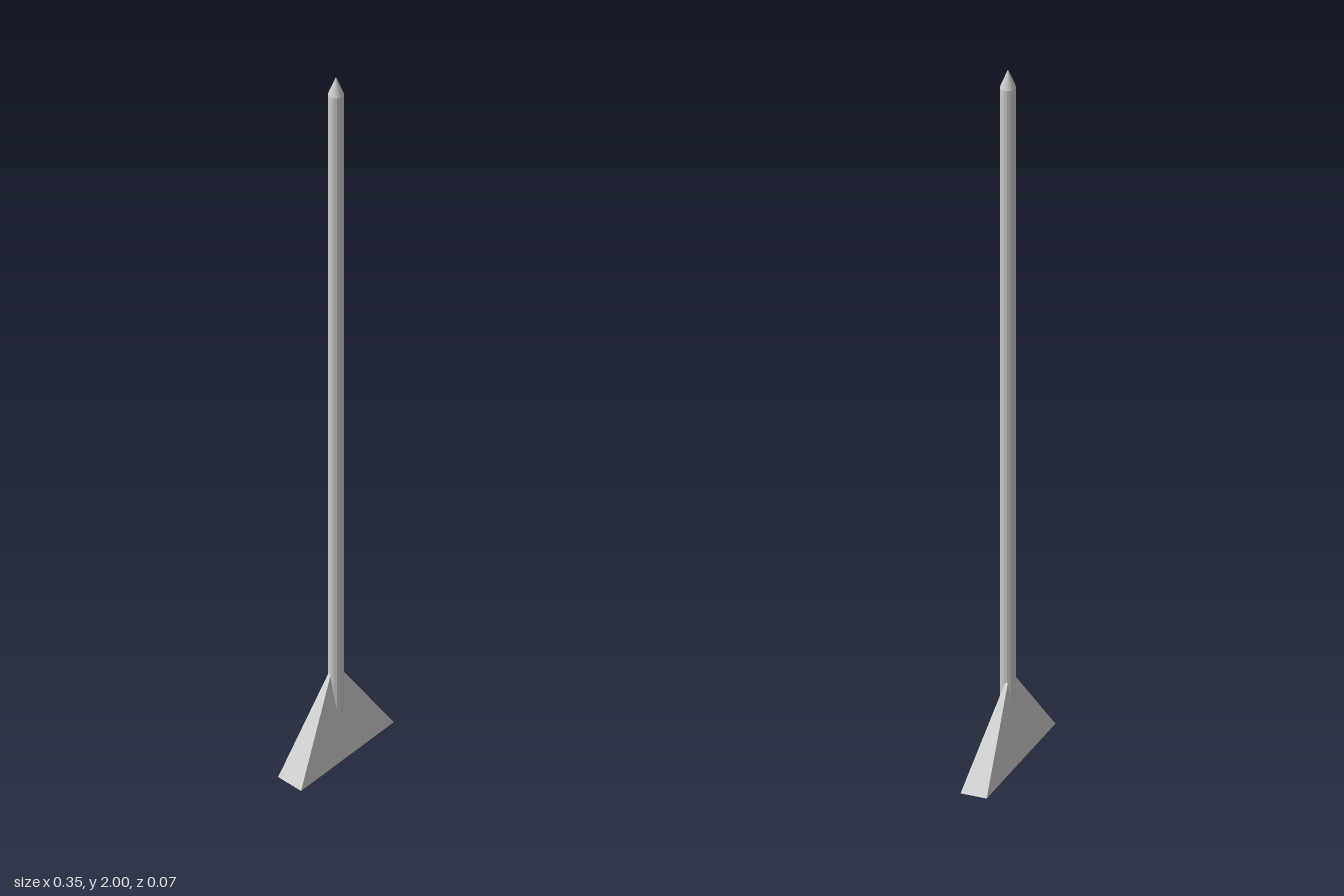
import * as THREE from 'three';

const SIDES = 16;
const RADIUS = 0.019;

// Closed faceted solid: a fan of triangles from an apex to a base loop, plus the base quad
function pyramid(base, apex) {
  const points = [];
  base.forEach((corner, i) => points.push(...corner, ...base[(i + 1) % base.length], ...apex));
  points.push(...base[0], ...base[2], ...base[1], ...base[0], ...base[3], ...base[2]);
  const geometry = new THREE.BufferGeometry();
  geometry.setAttribute('position', new THREE.Float32BufferAttribute(points, 3));
  geometry.computeVertexNormals();
  return geometry;
}

export function createModel() {
  const group = new THREE.Group();
  const material = new THREE.MeshStandardMaterial({ color: 0xcccccc, flatShading: true });

  const add = (name, geometry, y = 0) => {
    const mesh = new THREE.Mesh(geometry, material);
    mesh.name = name;
    mesh.position.set(0, y, 0);
    group.add(mesh);
  };

  // Long shaft, sunk into the foot
  const bottom = 0.12, shoulder = 1.95, top = 2;
  add('shaft', new THREE.CylinderGeometry(RADIUS, RADIUS, shoulder - bottom, SIDES), (shoulder + bottom) / 2);

  // Pointed end
  add('tip', new THREE.ConeGeometry(RADIUS, top - shoulder, SIDES), (top + shoulder) / 2);

  // Flat wedge-shaped foot, its rear edge slightly raised
  const halfWidth = 0.174, halfDepth = 0.035, rise = 0.008;
  add('foot', pyramid([
    [-halfWidth, 0, halfDepth],
    [halfWidth, 0, halfDepth],
    [halfWidth, rise, -halfDepth],
    [-halfWidth, rise, -halfDepth],
  ], [0, 0.262, -0.006]));

  return group;
}
